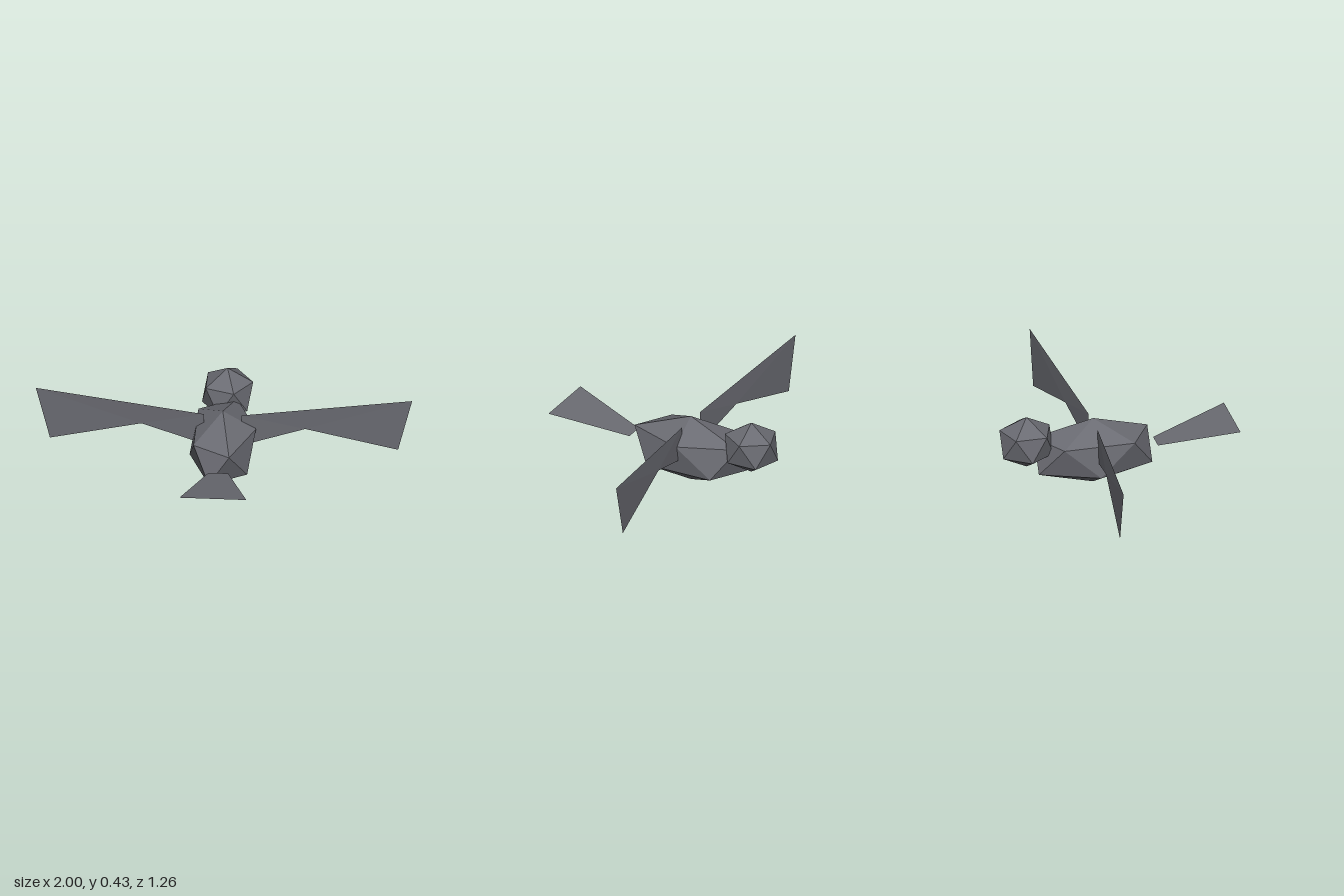
import * as THREE from 'three';

const featherGrey = new THREE.MeshStandardMaterial({ color: 0x6a6b72 });
featherGrey.name = 'feather grey';
const vaneGrey = new THREE.MeshStandardMaterial({ color: 0x6a6b72, side: THREE.DoubleSide });
vaneGrey.name = 'vane grey';

// Faceted ball standing on a corner, stretched to the given radii
function facetedBall(name, radii, centre) {
  const geometry = new THREE.IcosahedronGeometry(1, 0);
  geometry.rotateZ(-Math.atan(2 / (1 + Math.sqrt(5))));
  geometry.scale(...radii);
  geometry.computeVertexNormals();
  const mesh = new THREE.Mesh(geometry, featherGrey);
  mesh.name = name;
  mesh.position.set(...centre);
  return mesh;
}

// Thin faceted sheet from corners and triangles
function sheet(name, corners, triangles) {
  const points = triangles.flat().map((i) => corners[i]).flat();
  const geometry = new THREE.BufferGeometry();
  geometry.setAttribute('position', new THREE.Float32BufferAttribute(points, 3));
  geometry.computeVertexNormals();
  const mesh = new THREE.Mesh(geometry, vaneGrey);
  mesh.name = name;
  return mesh;
}

export function createModel() {
  const bird = new THREE.Group();
  bird.name = 'bird';

  bird.add(facetedBall('body', [0.197, 0.188, 0.365], [0, 0.19, -0.13]));
  bird.add(facetedBall('head', [0.152, 0.146, 0.161], [0, 0.283, -0.495]));

  // Wings, mirrored: inner top, tip top, tip bottom, notch, inner bottom
  for (const side of [1, -1]) {
    const corners = [
      [0.1, 0.355, -0.13], [1, 0.427, -0.22], [0.925, 0.125, -0.22],
      [0.435, 0.262, -0.17], [0.1, 0.17, -0.133],
    ].map(([x, y, z]) => [x * side, y, z]);
    const triangles = [[3, 2, 1], [3, 1, 0], [3, 0, 4]]
      .map((t) => (side > 0 ? t : [...t].reverse()));
    bird.add(sheet(side > 0 ? 'leftWing' : 'rightWing', corners, triangles));
  }

  // Tail fan, rising away from the body
  bird.add(sheet('tail', [
    [-0.052, 0.197, 0.212], [-0.178, 0.285, 0.632],
    [0.178, 0.285, 0.632], [0.052, 0.197, 0.212],
  ], [[0, 1, 2], [0, 2, 3]]));

  return bird;
}
